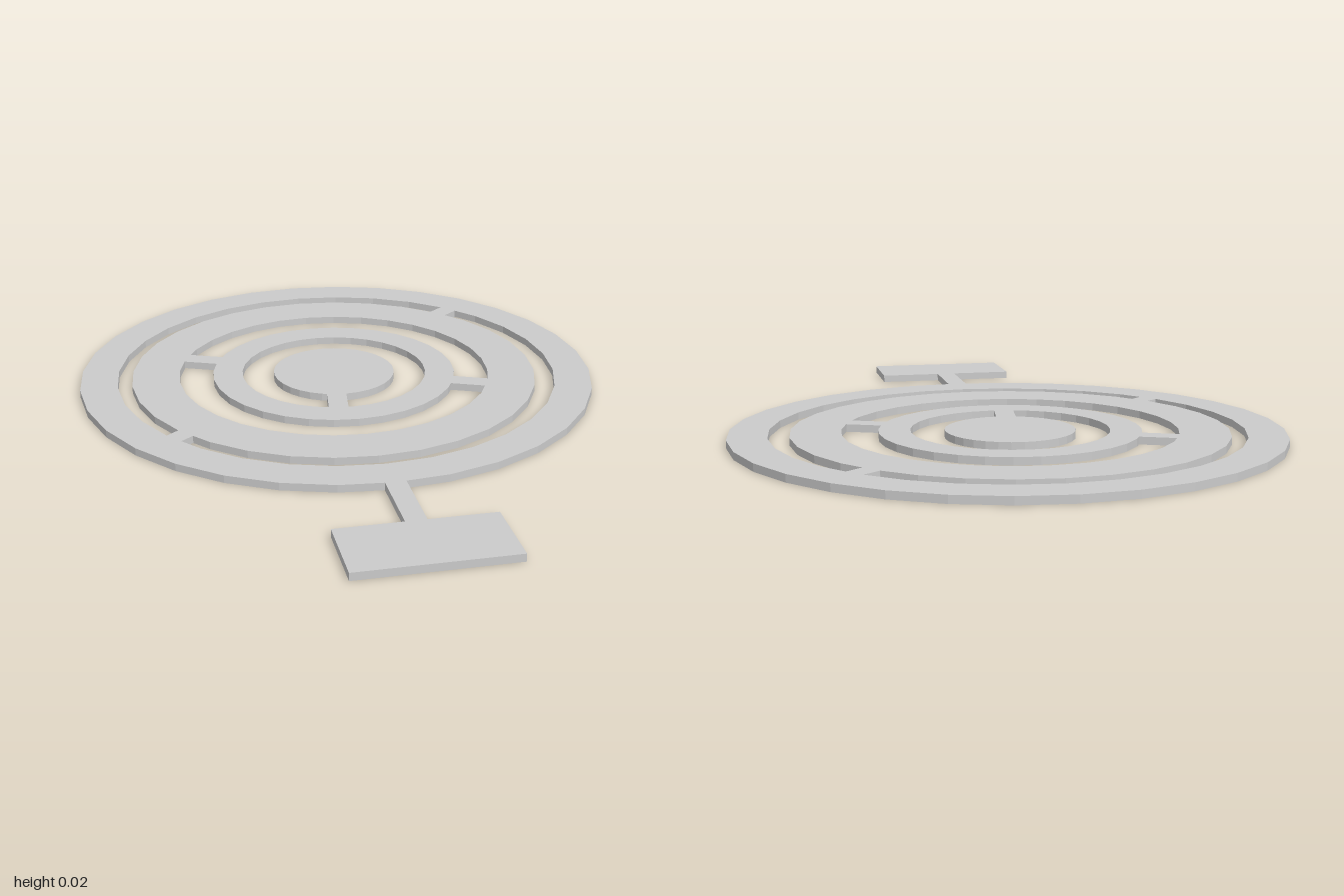
import * as THREE from 'three';

const THICK = 0.022;
const SIDES = 32;
const CENTER_Z = -0.215;

const material = new THREE.MeshStandardMaterial({ color: 0xcccccc, flatShading: true });

function circlePoints(radius) {
  return Array.from({ length: SIDES }, (_, i) => {
    const a = (i / SIDES) * Math.PI * 2;
    return new THREE.Vector2(Math.cos(a) * radius, Math.sin(a) * radius);
  });
}

// Flat faceted ring; an inner radius of 0 gives a solid disc
function ring(name, outer, inner, x) {
  const shape = new THREE.Shape(circlePoints(outer));
  if (inner > 0) shape.holes.push(new THREE.Path(circlePoints(inner).reverse()));
  const geometry = new THREE.ExtrudeGeometry(shape, { depth: THICK, bevelEnabled: false });
  geometry.rotateX(-Math.PI / 2);
  const mesh = new THREE.Mesh(geometry, material);
  mesh.name = name;
  mesh.position.set(x, 0, CENTER_Z);
  return mesh;
}

// Flat bar lying on the ground, its length turned by an angle in the x-z plane
function bar(name, x, z, length, width, degrees = 0) {
  const mesh = new THREE.Mesh(new THREE.BoxGeometry(length, THICK, width), material);
  mesh.name = name;
  mesh.position.set(x, THICK / 2, z);
  mesh.rotation.y = THREE.MathUtils.degToRad(degrees);
  return mesh;
}

export function createModel() {
  const model = new THREE.Group();
  model.name = 'concentricTarget';

  // Concentric rings and centre disc
  model.add(
    ring('outerRing', 0.785, 0.673, 0),
    ring('middleRing', 0.621, 0.477, -0.008),
    ring('innerRing', 0.373, 0.283, -0.008),
    ring('centerDisc', 0.186, 0, -0.008),
  );

  // Bridges joining neighbouring rings
  model.add(
    bar('outerBridgeBack', 0.465, -0.66, 0.12, 0.058, 38),
    bar('outerBridgeFront', -0.526, 0.166, 0.12, 0.058, 38),
    bar('middleBridgeRight', -0.396, -0.391, 0.15, 0.058, -22.5),
    bar('middleBridgeLeft', 0.384, -0.046, 0.15, 0.058, -22.5),
    bar('centerBridge', -0.042, 0.01, 0.15, 0.058, 82),
  );

  // Stem and handle plate at the front
  model.add(
    bar('stem', 0, 0.665, 0.058, 0.25),
    bar('handlePlate', 0, 0.892, 0.434, 0.216),
  );

  return model;
}
